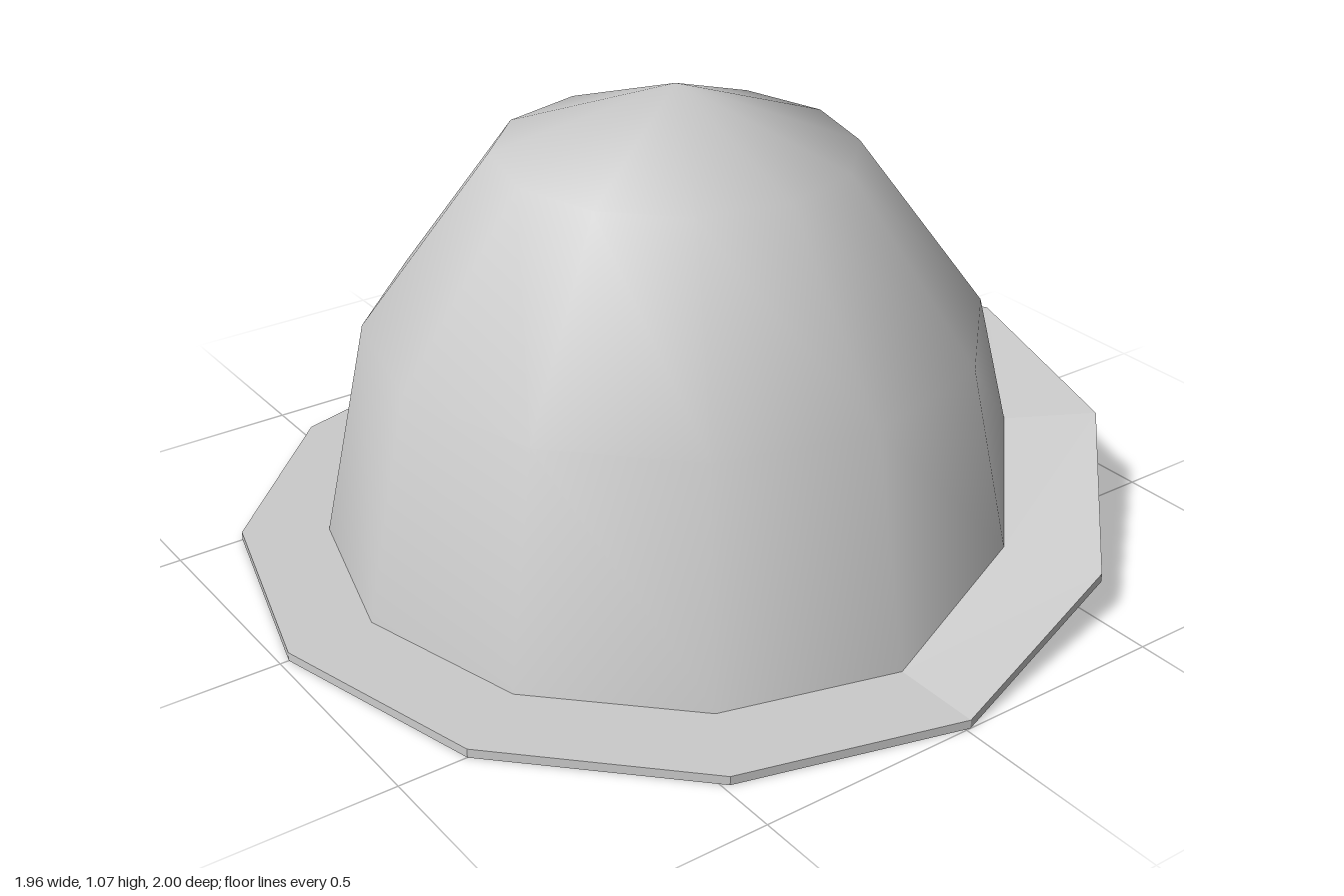
import * as THREE from 'three';

const SIDES = 12;
const CX = 0.01;

// Upward bend of the brim underside along x
const bend = x => x <= CX ? 0 : x < 0.505 ? (x - CX) * 0.18 : 0.09 + (x - 0.505) * 0.36;
// Raised line where the crown meets the top of the brim
const seam = c => 0.245 * Math.pow(Math.max(0, c), 1.3);

// Twelve-sided ring; place(cos, sin) gives each corner
function ring(place) {
  return Array.from({ length: SIDES }, (_, i) => {
    const a = (i / SIDES) * Math.PI * 2;
    return place(Math.cos(a), Math.sin(a));
  });
}
const level = (r, y) => ring((c, s) => [CX + r * c, y, r * s]);

// Skin between successive rings, optionally closed in a loop or by an apex
function loft(rings, { closed = false, apex = null, flip = false } = {}) {
  const pos = rings.flat(2);
  const index = [];
  const tri = (a, b, c) => (flip ? index.push(a, c, b) : index.push(a, b, c));
  const n = rings.length;
  for (let k = 0; k < (closed ? n : n - 1); k++) {
    for (let i = 0; i < SIDES; i++) {
      const j = (i + 1) % SIDES;
      const a = k * SIDES, b = ((k + 1) % n) * SIDES;
      tri(a + i, b + i, b + j);
      tri(a + i, b + j, a + j);
    }
  }
  if (apex) {
    pos.push(...apex);
    const a = (n - 1) * SIDES;
    for (let i = 0; i < SIDES; i++) tri(a + i, n * SIDES, a + (i + 1) % SIDES);
  }
  const geo = new THREE.BufferGeometry();
  geo.setAttribute('position', new THREE.Float32BufferAttribute(pos, 3));
  geo.setIndex(index);
  geo.computeVertexNormals();
  return geo;
}

export function createModel() {
  const group = new THREE.Group();
  const smooth = new THREE.MeshStandardMaterial({ color: 0xcccccc });
  const flat = new THREE.MeshStandardMaterial({ color: 0xcccccc, flatShading: true });
  const add = (name, geo, mat) => {
    const mesh = new THREE.Mesh(geo, mat);
    mesh.name = name;
    group.add(mesh);
  };

  // Brim outline, shortened slightly where it turns up
  const outer = lift => ring((c, s) => {
    const x = CX + 0.99 * c - 0.05 * Math.max(0, c - 0.5);
    return [x, bend(x) + lift, s];
  });
  const crownBase = ring((c, s) => {
    const h = seam(c), r = 0.795 - 0.15 * h;
    return [CX + r * c, 0.02 + h, r * s];
  });
  const opening = ring((c, s) => {
    const x = CX + 0.745 * c - 0.05 * Math.max(0, c - 0.5);
    return [x, bend(x), 0.745 * s];
  });

  // Crown
  add('crown', loft([crownBase, level(0.69, 0.53), level(0.4, 0.922)],
    { apex: [CX, 1.065, 0] }), smooth);

  // Lining inside the crown
  add('lining', loft([opening, level(0.66, 0.51), level(0.38, 0.89)],
    { apex: [CX, 1.03, 0], flip: true }), smooth);

  // Brim: underside, rim and top
  add('brim', loft([opening, outer(0), outer(0.02), crownBase]), flat);

  return group;
}
